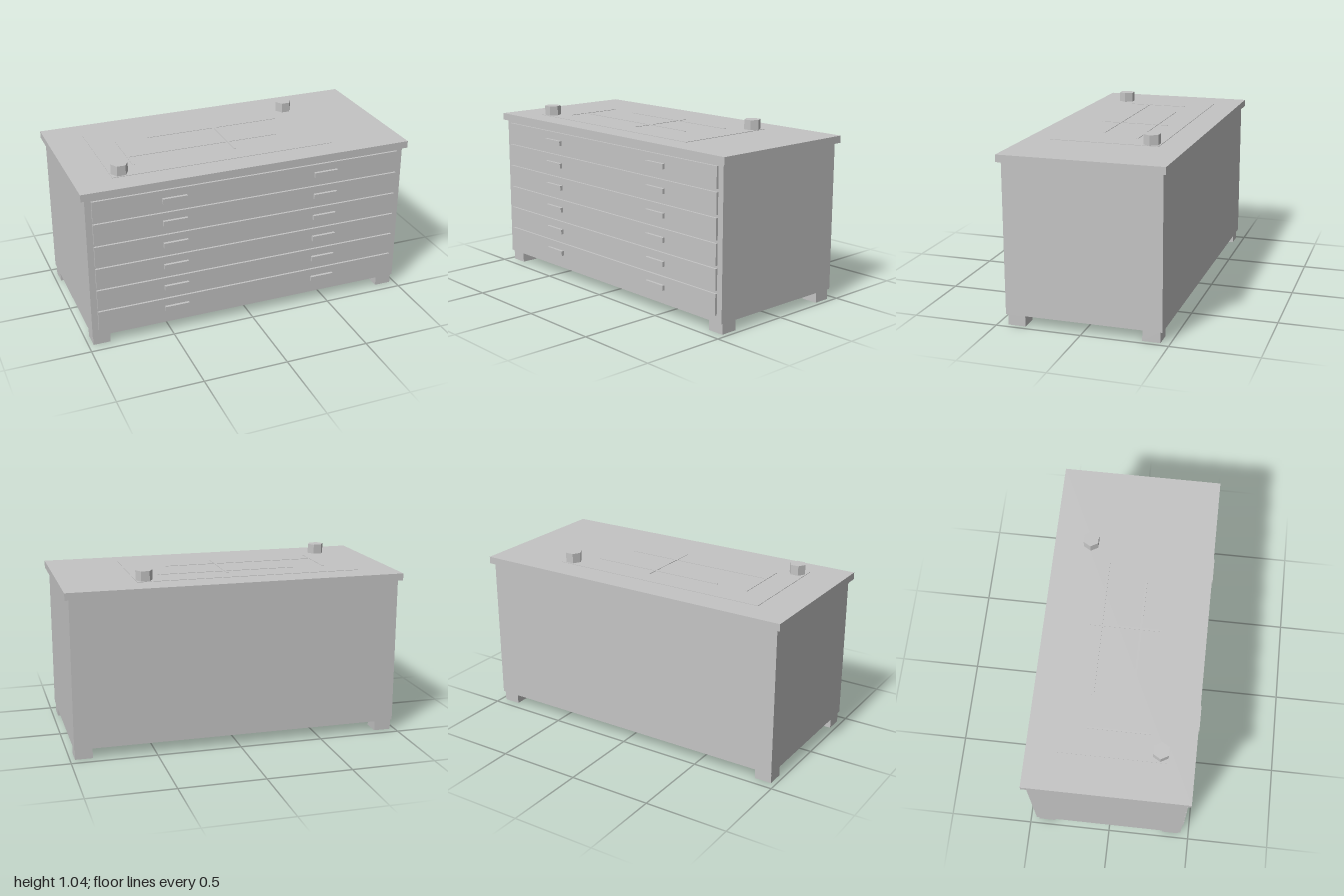
import * as THREE from 'three';

export function createModel() {
  const group = new THREE.Group();
  const grey = new THREE.MeshStandardMaterial({ color: 0xc4c4c4 });
  grey.name = 'light grey';

  // Adds a box given its extents along each axis
  function box(name, [x0, x1], [y0, y1], [z0, z1]) {
    const mesh = new THREE.Mesh(new THREE.BoxGeometry(x1 - x0, y1 - y0, z1 - z0), grey);
    mesh.position.set((x0 + x1) / 2, (y0 + y1) / 2, (z0 + z1) / 2);
    mesh.name = name;
    group.add(mesh);
  }

  // Cabinet body and overhanging top
  box('cabinetBody', [-0.976, 0.976], [0.063, 0.94], [-0.459, 0.449]);
  box('tableTop', [-1, 1], [0.94, 0.982], [-0.479, 0.47]);

  // Four square feet
  for (const x of [-0.92, 0.92]) {
    for (const z of [-0.396, 0.386]) {
      box('foot', [x - 0.051, x + 0.051], [0, 0.063], [z - 0.051, z + 0.051]);
    }
  }

  // Six shallow drawers, each with two handles
  for (let i = 0; i < 6; i++) {
    const y = 0.166 + i * 0.1394;
    box('drawerFront', [-0.939, 0.939], [y - 0.061, y + 0.061], [0.449, 0.462]);
    for (const x of [-0.466, 0.466]) {
      box('drawerHandle', [x - 0.073, x + 0.073], [y - 0.015, y + 0.015], [0.462, 0.479]);
    }
  }

  // Drawing sheet with thin ruled lines
  box('drawingSheet', [-0.78, 0.565], [0.982, 0.9845], [-0.315, 0.327]);
  const lines = [
    [[-0.625, -0.613], [-0.155, 0.208]],
    [[-0.006, 0.006], [-0.21, 0.205]],
    [[-0.425, 0.41], [-0.149, -0.137]],
    [[-0.613, 0.31], [0.082, 0.094]],
  ];
  for (const [x, z] of lines) box('drawnLine', x, [0.9845, 0.987], z);

  // Hexagonal paperweights on opposite corners of the sheet
  for (const [x, z] of [[-0.724, 0.275], [0.515, -0.262]]) {
    const geometry = new THREE.CylinderGeometry(0.05, 0.05, 0.059, 6).toNonIndexed();
    geometry.rotateY(Math.PI / 6);
    geometry.computeVertexNormals();
    const weight = new THREE.Mesh(geometry, grey);
    weight.position.set(x, 1.0135, z);
    weight.name = 'paperweight';
    group.add(weight);
  }

  return group;
}
